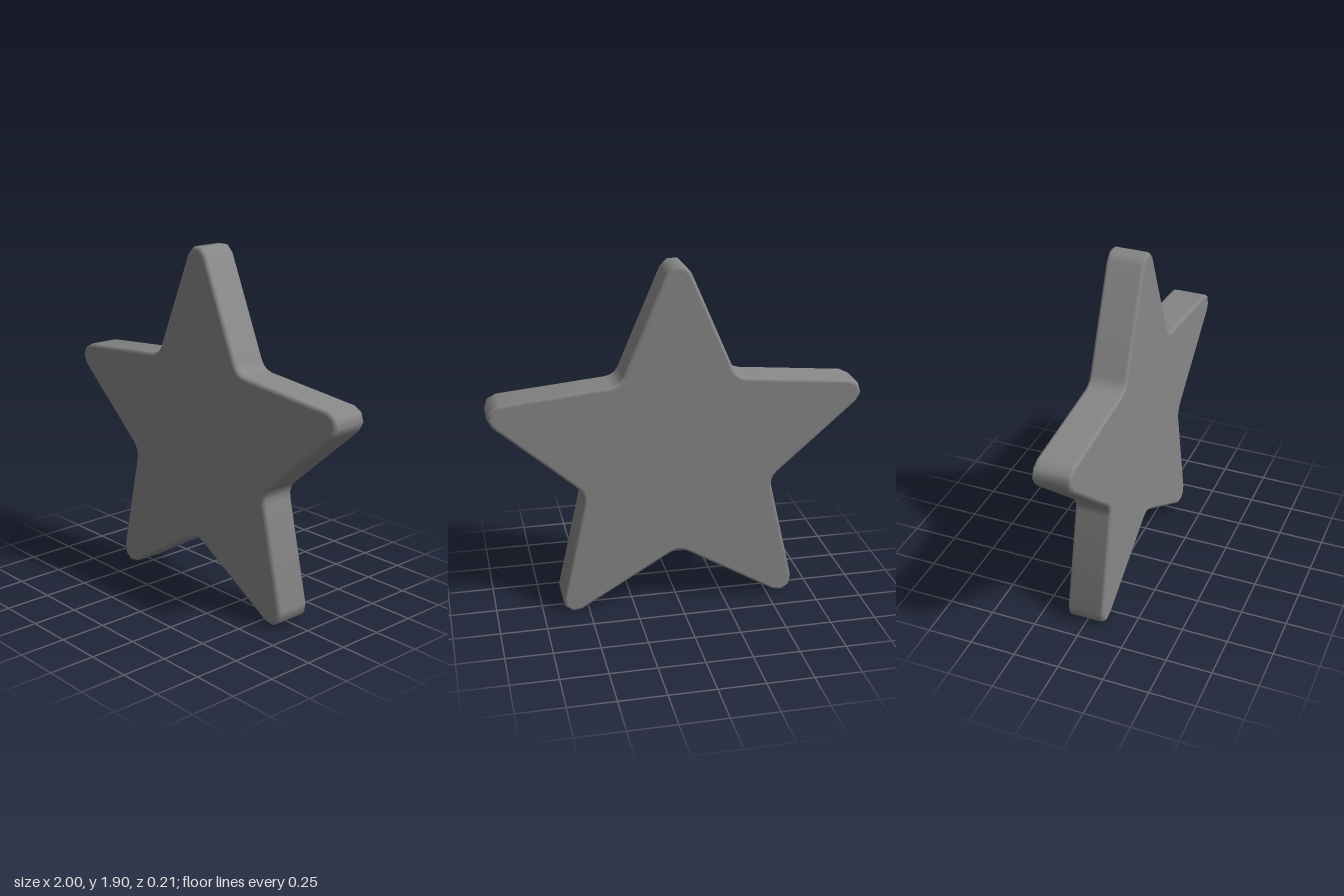
import * as THREE from 'three';
import { toCreasedNormals } from 'three/addons/utils/BufferGeometryUtils.js';

const CENTRE_Y = 0.859, HALF = 0.103, BEVEL = 0.02;

// Five-pointed outline with short faceted arcs at the tips and the notches
function starShape() {
  const points = [];
  const tilt = THREE.MathUtils.degToRad(22.5); // half angle of a tip
  const tipSweep = Math.PI / 2 - tilt;
  const notchSweep = tipSweep - Math.PI / 5;
  // Arc about a point at the given distance along an axis; angles are measured from that axis
  const arc = (axis, distance, radius, from, to, steps) => {
    for (let i = 0; i <= steps; i++) {
      const a = axis + from + (to - from) * i / steps;
      points.push(new THREE.Vector2(
        Math.cos(axis) * distance + Math.cos(a) * radius,
        Math.sin(axis) * distance + Math.sin(a) * radius));
    }
  };
  for (let k = 0; k < 5; k++) {
    const axis = Math.PI / 2 + k * Math.PI * 2 / 5;
    arc(axis, 0.976, 0.0714, -tipSweep, tipSweep, 3);
    arc(axis + Math.PI / 5, 0.633, 0.087, Math.PI + notchSweep, Math.PI - notchSweep, 3);
  }
  return new THREE.Shape(points);
}

export function createModel() {
  const group = new THREE.Group();
  group.name = 'starModel';

  let geometry = new THREE.ExtrudeGeometry(starShape(), {
    depth: 2 * (HALF - BEVEL),
    bevelEnabled: true,
    bevelThickness: BEVEL,
    bevelSize: BEVEL,
    bevelOffset: -BEVEL,
    bevelSegments: 2,
  });
  geometry.translate(0, 0, -(HALF - BEVEL));
  geometry = toCreasedNormals(geometry, 1);

  // Keep the faces and the side walls flat, so only the bevel is shaded round
  const p = geometry.attributes.position, n = geometry.attributes.normal;
  const v = new THREE.Vector3();
  for (let i = 0; i < p.count; i++) {
    const z = p.getZ(i);
    if (Math.abs(z) > HALF - 1e-4) {
      n.setXYZ(i, 0, 0, Math.sign(z));
    } else if (Math.abs(z) < HALF - BEVEL + 1e-4) {
      v.fromBufferAttribute(n, i).setZ(0).normalize();
      n.setXYZ(i, v.x, v.y, 0);
    }
  }

  const star = new THREE.Mesh(geometry, new THREE.MeshStandardMaterial({ color: 0x878787 }));
  star.name = 'star';
  star.position.y = CENTRE_Y;
  group.add(star);
  return group;
}
